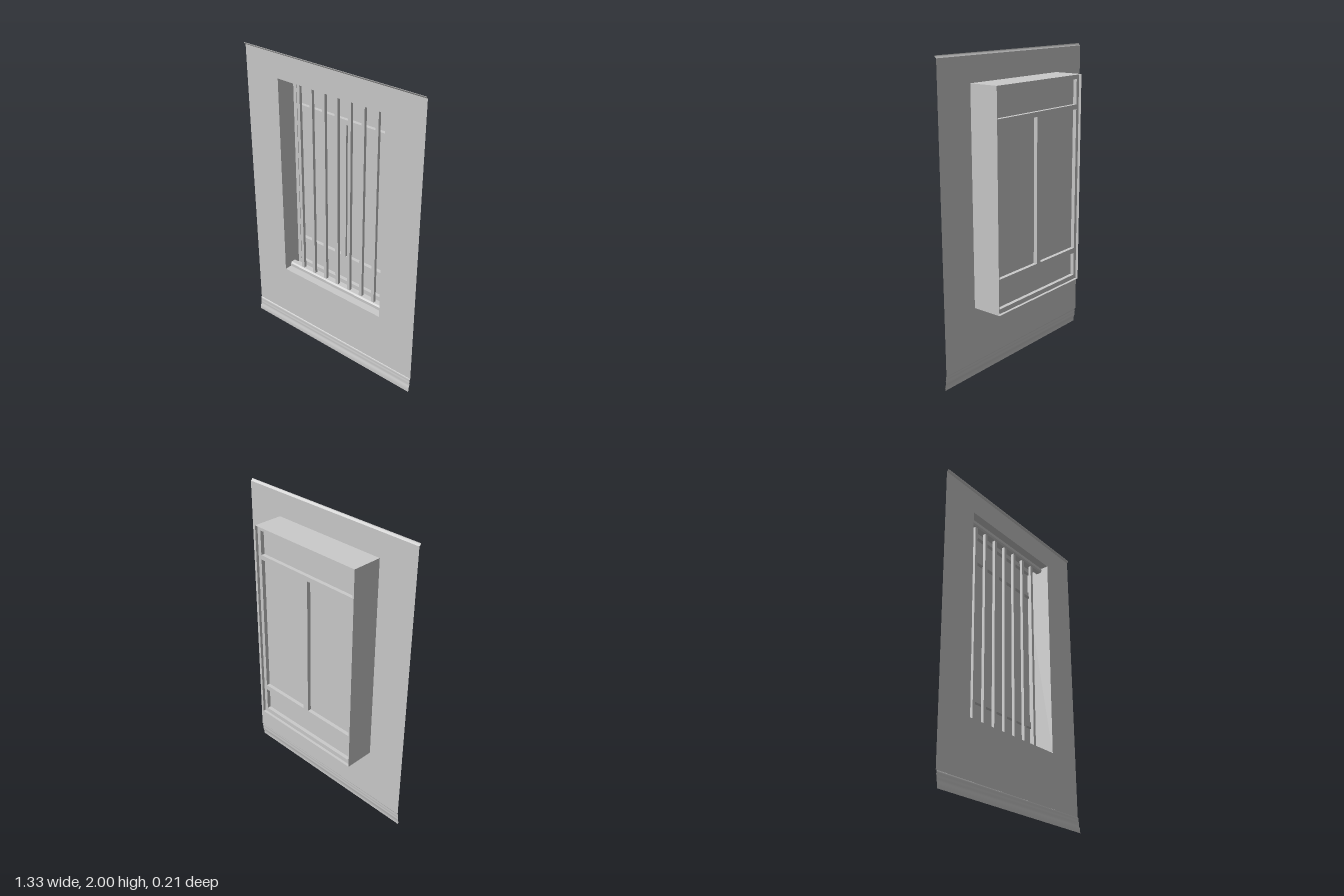
import * as THREE from 'three';

const grey = new THREE.MeshStandardMaterial({ color: 0xcccccc, side: THREE.DoubleSide });

const WALL = { w: 1.334, z: 0.092, low: 0.1, high: 1.985 };
const OPEN = { x: 0.405, y0: 0.46, y1: 1.83, back: -0.106 };

function addMesh(parent, name, geometry, x = 0, y = 0, z = 0) {
  const mesh = new THREE.Mesh(geometry, grey);
  mesh.name = name;
  mesh.position.set(x, y, z);
  parent.add(mesh);
  return mesh;
}

// Rectangular outline, counter-clockwise, as a Shape or a Path
function rect(Type, x0, y0, x1, y1) {
  return new Type([[x0, y0], [x1, y0], [x1, y1], [x0, y1]].map(([x, y]) => new THREE.Vector2(x, y)));
}

// Moulding sheet: a [y, z] profile swept across the width of the wall
function moulding(profile) {
  const geometry = new THREE.PlaneGeometry(WALL.w, 1, 1, profile.length - 1);
  const pos = geometry.attributes.position;
  for (let i = 0; i < pos.count; i++) {
    const [y, z] = profile[Math.floor(i / 2)];
    pos.setY(i, y);
    pos.setZ(i, z);
  }
  geometry.computeVertexNormals();
  return geometry;
}

export function createModel() {
  const model = new THREE.Group();
  model.name = 'barredWindowWall';
  const height = OPEN.y1 - OPEN.y0;
  const midY = (OPEN.y0 + OPEN.y1) / 2;

  // Thin wall with the window opening
  const wall = rect(THREE.Shape, -WALL.w / 2, WALL.low, WALL.w / 2, WALL.high);
  wall.holes.push(rect(THREE.Path, -OPEN.x, OPEN.y0, OPEN.x, OPEN.y1));
  addMesh(model, 'wall', new THREE.ShapeGeometry(wall), 0, 0, WALL.z);

  // Skirting and top moulding, from top to bottom
  addMesh(model, 'skirting', moulding([
    [0.1, 0.092], [0.098, 0.096], [0.088, 0.098], [0.076, 0.096], [0.066, 0.1],
    [0.054, 0.098], [0.042, 0.1], [0.032, 0.104], [0.016, 0.106], [0, 0.106],
  ]));
  addMesh(model, 'topMoulding', moulding([[2, 0.103], [1.994, 0.103], [1.985, 0.092]]));

  // Deep reveal: four sheets running back from the wall
  const reveal = new THREE.Group();
  reveal.name = 'reveal';
  model.add(reveal);
  const depth = WALL.z - OPEN.back;
  const midZ = (WALL.z + OPEN.back) / 2;
  for (const s of [-1, 1]) {
    const side = addMesh(reveal, s > 0 ? 'leftReveal' : 'rightReveal',
      new THREE.PlaneGeometry(depth, height), s * OPEN.x, midY, midZ);
    side.rotation.y = s * Math.PI / 2;
    const end = addMesh(reveal, s > 0 ? 'topReveal' : 'bottomReveal',
      new THREE.PlaneGeometry(OPEN.x * 2, depth), 0, midY + s * height / 2, midZ);
    end.rotation.x = -s * Math.PI / 2;
  }

  // Window frame: wide top and bottom lights, two tall lights between
  const frame = rect(THREE.Shape, -OPEN.x, OPEN.y0, OPEN.x, OPEN.y1);
  const lights = [
    [-0.38, 0.49, 0.38, 0.645],
    [-0.38, 0.68, -0.02, 1.61],
    [0.02, 0.68, 0.38, 1.61],
    [-0.38, 1.64, 0.38, 1.8],
  ];
  for (const light of lights) frame.holes.push(rect(THREE.Path, ...light));
  addMesh(model, 'windowFrame',
    new THREE.ExtrudeGeometry(frame, { depth: 0.05, bevelEnabled: false }), 0, 0, -0.088);
  for (const light of lights) {
    addMesh(model, 'pane', new THREE.ShapeGeometry(rect(THREE.Shape, ...light)), 0, 0, -0.063);
  }

  // Grille: chamfered top and bottom rails with seven upright bars
  const grille = new THREE.Group();
  grille.name = 'grille';
  model.add(grille);
  const section = new THREE.Shape([[-0.02, 0], [0.02, 0], [0.02, 0.02], [0.012, 0.03], [-0.02, 0.03]]
    .map(([z, y]) => new THREE.Vector2(-z, y)));
  for (const top of [false, true]) {
    const geometry = new THREE.ExtrudeGeometry(section, { depth: OPEN.x * 2, bevelEnabled: false });
    geometry.translate(0, 0, -OPEN.x).rotateY(Math.PI / 2);
    // Turning about z flips the rail for the head of the opening
    if (top) geometry.rotateZ(Math.PI);
    addMesh(grille, top ? 'topRail' : 'bottomRail', geometry, 0, top ? OPEN.y1 : OPEN.y0, 0.02);
  }
  for (let i = -3; i <= 3; i++) {
    addMesh(grille, 'bar', new THREE.BoxGeometry(0.022, height - 0.06, 0.02), i * 0.1, midY, 0.02);
  }

  return model;
}
